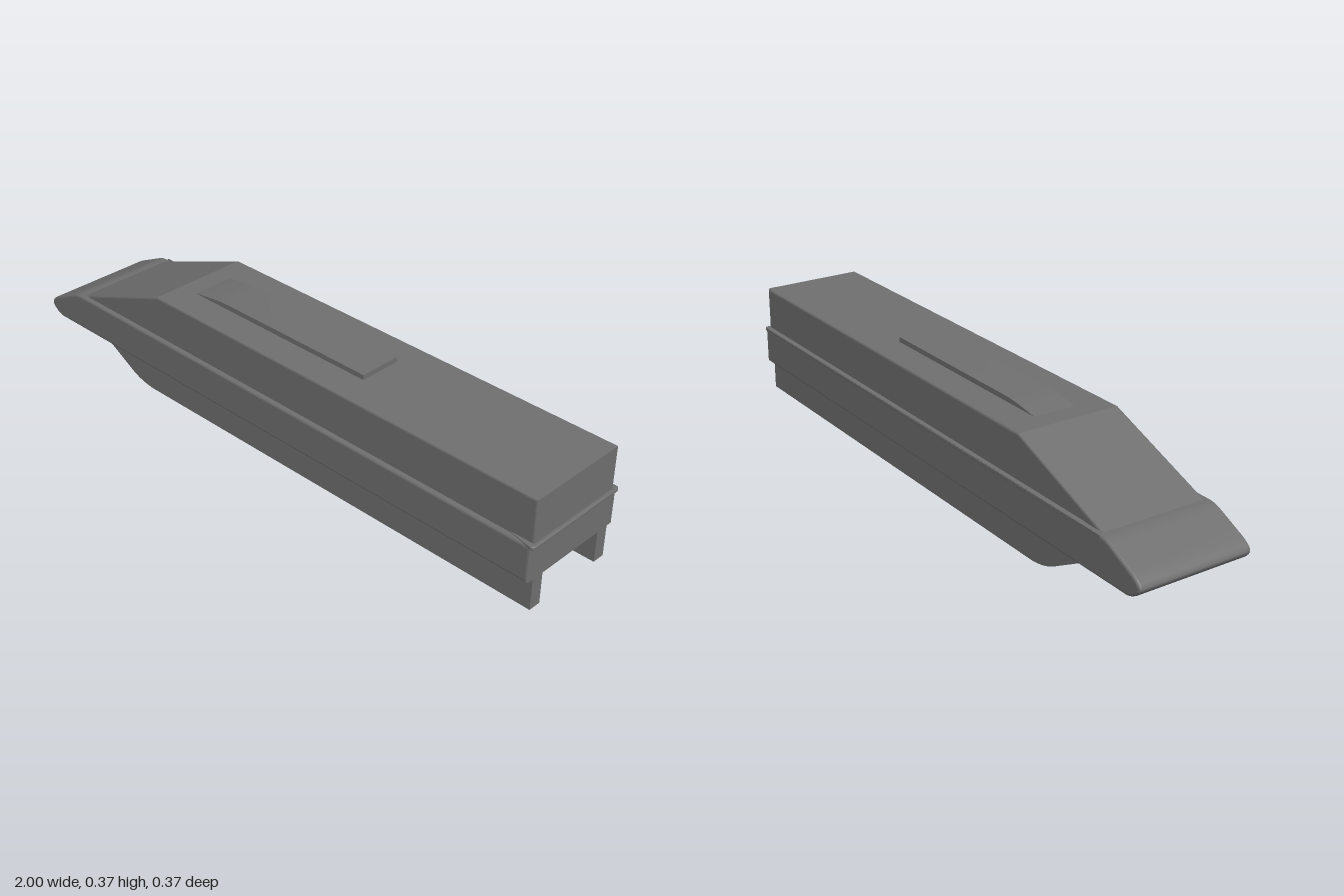
import * as THREE from 'three';
import { toCreasedNormals } from 'three/addons/utils/BufferGeometryUtils.js';

const material = new THREE.MeshStandardMaterial({ color: 0x6f6f6f });

// Side profile extruded across z, centred on z, with optional softened long edges
function slab(name, shape, width, bevel = 0) {
  const geometry = new THREE.ExtrudeGeometry(shape, {
    depth: width - 2 * bevel,
    bevelEnabled: bevel > 0,
    bevelSize: bevel,
    bevelThickness: bevel,
    bevelOffset: -bevel,
    bevelSegments: 3,
    curveSegments: 10,
  });
  geometry.translate(0, 0, -width / 2 + bevel);
  const mesh = new THREE.Mesh(toCreasedNormals(geometry, 0.22), material);
  mesh.name = name;
  return mesh;
}

const polygon = (points) => new THREE.Shape(points.map(([x, y]) => new THREE.Vector2(x, y)));

export function createModel() {
  const group = new THREE.Group();
  group.name = 'train';
  const back = 0.99;

  // Lower hull with the rounded, drooping nose
  const hull = new THREE.Shape();
  hull.moveTo(back, 0.101);
  hull.lineTo(back, 0.218);
  hull.lineTo(-0.835, 0.221);
  hull.quadraticCurveTo(-0.86, 0.221, -0.88, 0.211);
  hull.lineTo(-0.965, 0.171);
  hull.bezierCurveTo(-0.99, 0.158, -1, 0.147, -1, 0.138);
  hull.bezierCurveTo(-1, 0.125, -0.97, 0.101, -0.945, 0.101);
  group.add(slab('lowerHull', hull, 0.37, 0.008));

  // Upper cabin with the sloped front
  const cabin = polygon([[back, 0.19], [back, 0.358], [-0.465, 0.358], [-0.84, 0.218], [-0.84, 0.19]]);
  group.add(slab('upperCabin', cabin, 0.34, 0.007));

  // Rim along the seam, drawn in plan with rounded rear corners
  const plan = new THREE.Shape();
  plan.moveTo(-0.84, -0.186);
  plan.absarc(0.988, -0.174, 0.012, -Math.PI / 2, 0);
  plan.absarc(0.988, 0.174, 0.012, 0, Math.PI / 2);
  plan.lineTo(-0.84, 0.186);
  const rim = slab('seamRim', plan, 0.012, 0.004);
  rim.rotation.x = -Math.PI / 2;
  rim.position.y = 0.216;
  group.add(rim);

  // Roof fairing rising gently towards the rear
  const fairing = new THREE.Shape();
  fairing.moveTo(0.302, 0.35);
  fairing.lineTo(0.302, 0.374);
  fairing.lineTo(-0.27, 0.374);
  fairing.quadraticCurveTo(-0.31, 0.373, -0.4, 0.358);
  fairing.lineTo(-0.4, 0.35);
  group.add(slab('roofFairing', fairing, 0.138));

  // Pair of skirts wrapping the guideway
  const skirt = new THREE.Shape();
  skirt.moveTo(back, 0);
  skirt.lineTo(back, 0.11);
  skirt.lineTo(-0.775, 0.11);
  skirt.lineTo(-0.62, 0.025);
  skirt.quadraticCurveTo(-0.575, 0.002, -0.52, 0);
  for (const side of [-1, 1]) {
    const mesh = slab(side > 0 ? 'frontSkirt' : 'backSkirt', skirt, 0.041);
    mesh.position.z = side * 0.14;
    group.add(mesh);
  }

  return group;
}
